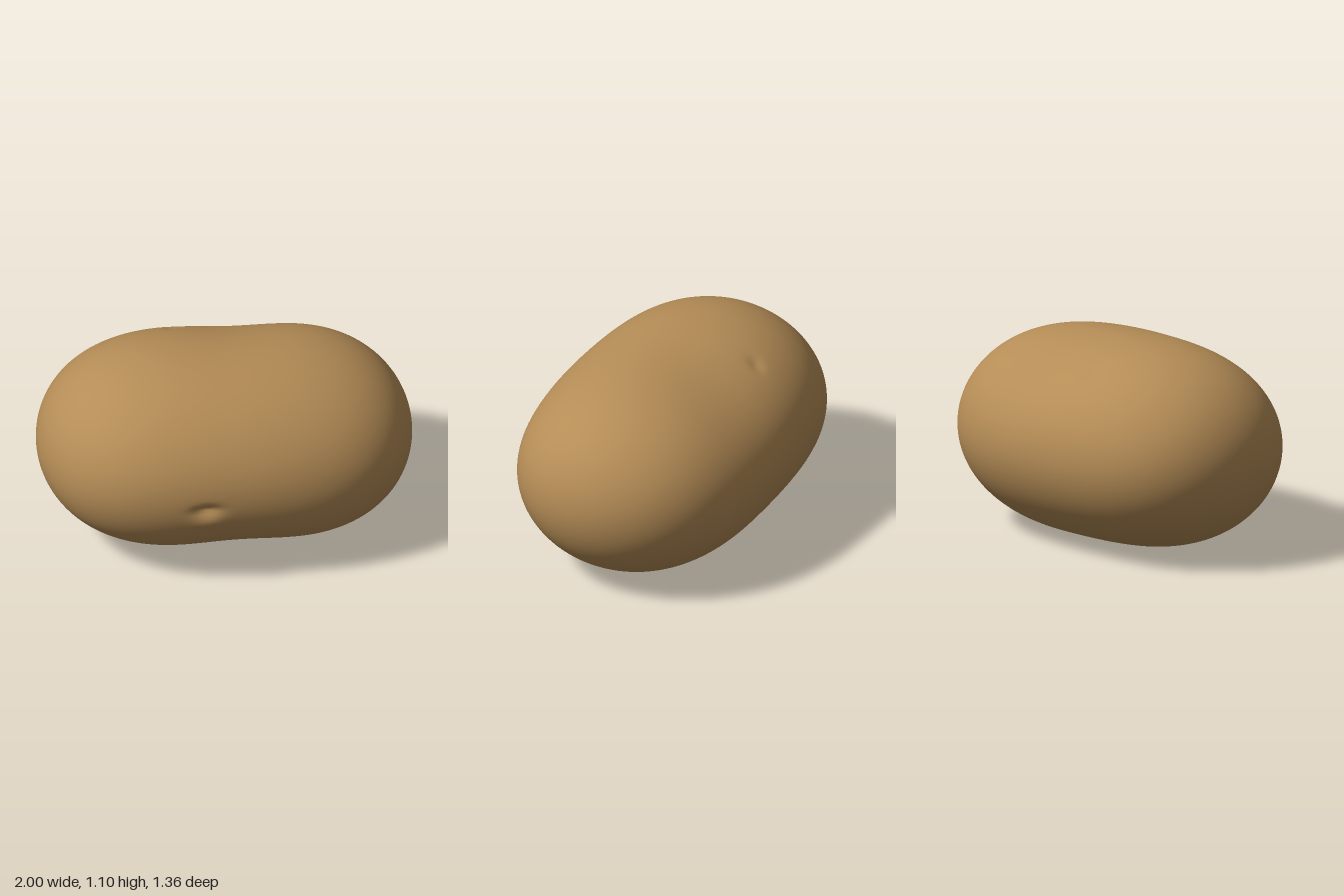
import * as THREE from 'three';
import { mergeVertices } from 'three/addons/utils/BufferGeometryUtils.js';

const HALF_Y = 0.553, HALF_Z = 0.66, VALLEY = THREE.MathUtils.degToRad(120);

// Small eyes: centre, radius and depth (a negative depth is a bump)
const eyes = [
  { at: [-0.12, 0.545, 0.65], r: [0.07, 0.03], depth: 0.035 },
  { at: [-0.10, 0.46, 0.65], r: [0.08, 0.04], depth: -0.012 },
  { at: [-0.26, 0.99, -0.39], r: [0.04, 0.03], depth: 0.02 },
  { at: [-0.26, 0.97, -0.34], r: [0.05, 0.03], depth: -0.008 },
];

// Point of the skin at x along the length and angle a around it
function skinPoint(x, a) {
  const profile = Math.sqrt(Math.max(0, 1 - Math.abs(x) ** 3));
  const sway = Math.sin(2.6 * x);
  // Diagonal waist, on the upper back and the lower front
  const waist = Math.exp(-(((x - 0.08) / 0.34) ** 2));
  const r = profile * (1 - 0.075 * waist * (Math.cos(a - VALLEY) ** 4 - 0.25));
  const p = new THREE.Vector3(
    x,
    0.55 - 0.014 * sway + HALF_Y * r * Math.sin(a),
    -0.036 * sway + HALF_Z * r * Math.cos(a));
  let push = 0;
  for (const { at, r: [rx, ry], depth } of eyes) {
    const dx = p.x - at[0], dy = p.y - at[1], dz = p.z - at[2];
    push += depth * Math.exp(-((dx / rx) ** 2) - (dy / ry) ** 2 - (dz / 0.08) ** 2);
  }
  p.y -= push * Math.sin(a);
  p.z -= push * Math.cos(a);
  return p;
}

export function createModel() {
  const group = new THREE.Group();
  group.name = 'potato';
  const skin = new THREE.MeshStandardMaterial({ color: 0xb48c56 });
  skin.name = 'potato skin';

  // A sphere laid along x and reshaped by the skin rule
  let geo = new THREE.SphereGeometry(1, 180, 150);
  geo.rotateZ(-Math.PI / 2);
  const pos = geo.attributes.position;
  for (let i = 0; i < pos.count; i++) {
    const p = skinPoint(pos.getX(i), Math.atan2(pos.getY(i), pos.getZ(i)));
    pos.setXYZ(i, p.x, p.y, p.z);
  }
  geo.deleteAttribute('normal');
  geo.deleteAttribute('uv');
  geo = mergeVertices(geo, 1e-5);

  // Stand it on the ground, centred
  geo.computeBoundingBox();
  const box = geo.boundingBox, c = box.getCenter(new THREE.Vector3());
  geo.translate(-c.x, -box.min.y, -c.z);
  geo.computeVertexNormals();

  const body = new THREE.Mesh(geo, skin);
  body.name = 'potatoBody';
  group.add(body);
  return group;
}
